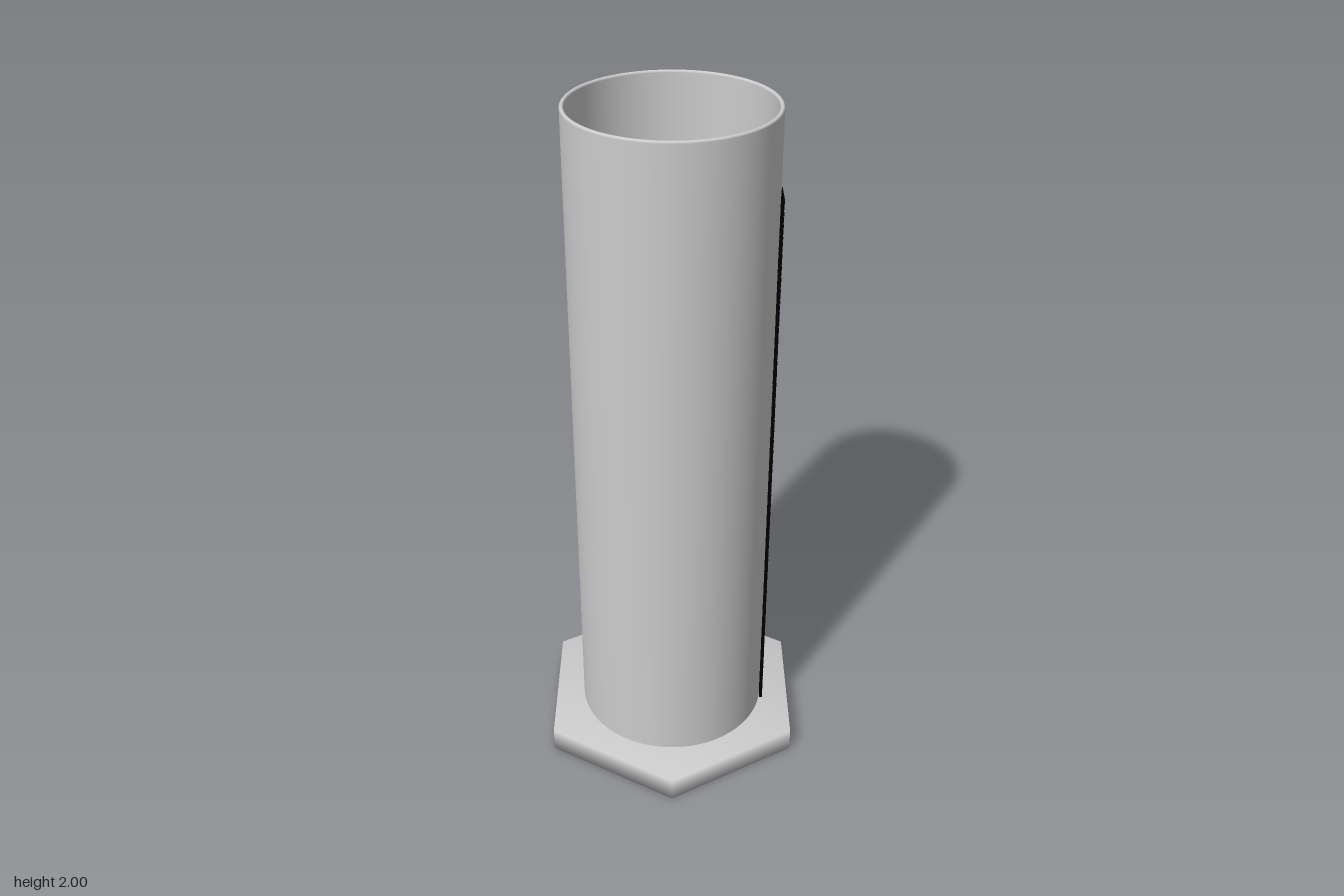
import * as THREE from 'three';
import { mergeVertices } from 'three/addons/utils/BufferGeometryUtils.js';

const BASE_HEIGHT = 0.072;
const OUTER = 0.283;
const INNER = 0.271;

export function createModel() {
  const group = new THREE.Group();
  const grey = new THREE.MeshStandardMaterial({ color: 0xcccccc });
  const black = new THREE.MeshStandardMaterial({ color: 0x000000 });

  const add = (name, geometry, material, parent = group) => {
    const mesh = new THREE.Mesh(geometry, material);
    mesh.name = name;
    parent.add(mesh);
    return mesh;
  };

  // Hexagonal foot, corners shared so that it shades softly
  let foot = new THREE.CylinderGeometry(0.425, 0.425, BASE_HEIGHT, 6);
  foot.deleteAttribute('normal');
  foot.deleteAttribute('uv');
  foot = mergeVertices(foot);
  foot.computeVertexNormals();
  foot.translate(0, BASE_HEIGHT / 2, 0);
  add('hexagonalBase', foot, grey);

  // Hollow tube: up the outer wall, over a rounded rim, down the inner wall
  const rimRadius = (OUTER - INNER) / 2;
  const profile = [new THREE.Vector2(OUTER, BASE_HEIGHT - 0.01)];
  for (let i = 0; i <= 6; i++) {
    const a = (i / 6) * Math.PI;
    profile.push(new THREE.Vector2(
      INNER + rimRadius + rimRadius * Math.cos(a),
      2 - rimRadius + rimRadius * Math.sin(a)));
  }
  profile.push(new THREE.Vector2(INNER, BASE_HEIGHT - 0.01));
  add('tube', new THREE.LatheGeometry(profile, 96), grey);

  // Graduation marks up the left side, every tenth one longer and thicker
  const scale = new THREE.Group();
  scale.name = 'scale';
  group.add(scale);
  const zFront = 0.066;
  const shortMark = new THREE.BoxGeometry(0.009, 0.009, 0.052);
  const longMark = new THREE.BoxGeometry(0.009, 0.013, 0.09);
  for (let i = 0; i <= 100; i++) {
    const long = i % 10 === 0;
    const mark = add(long ? 'longMark' : 'shortMark', long ? longMark : shortMark, black, scale);
    mark.position.set(0.2835, 0.085 + i * 0.01677, zFront - (long ? 0.045 : 0.026));
  }

  return group;
}
